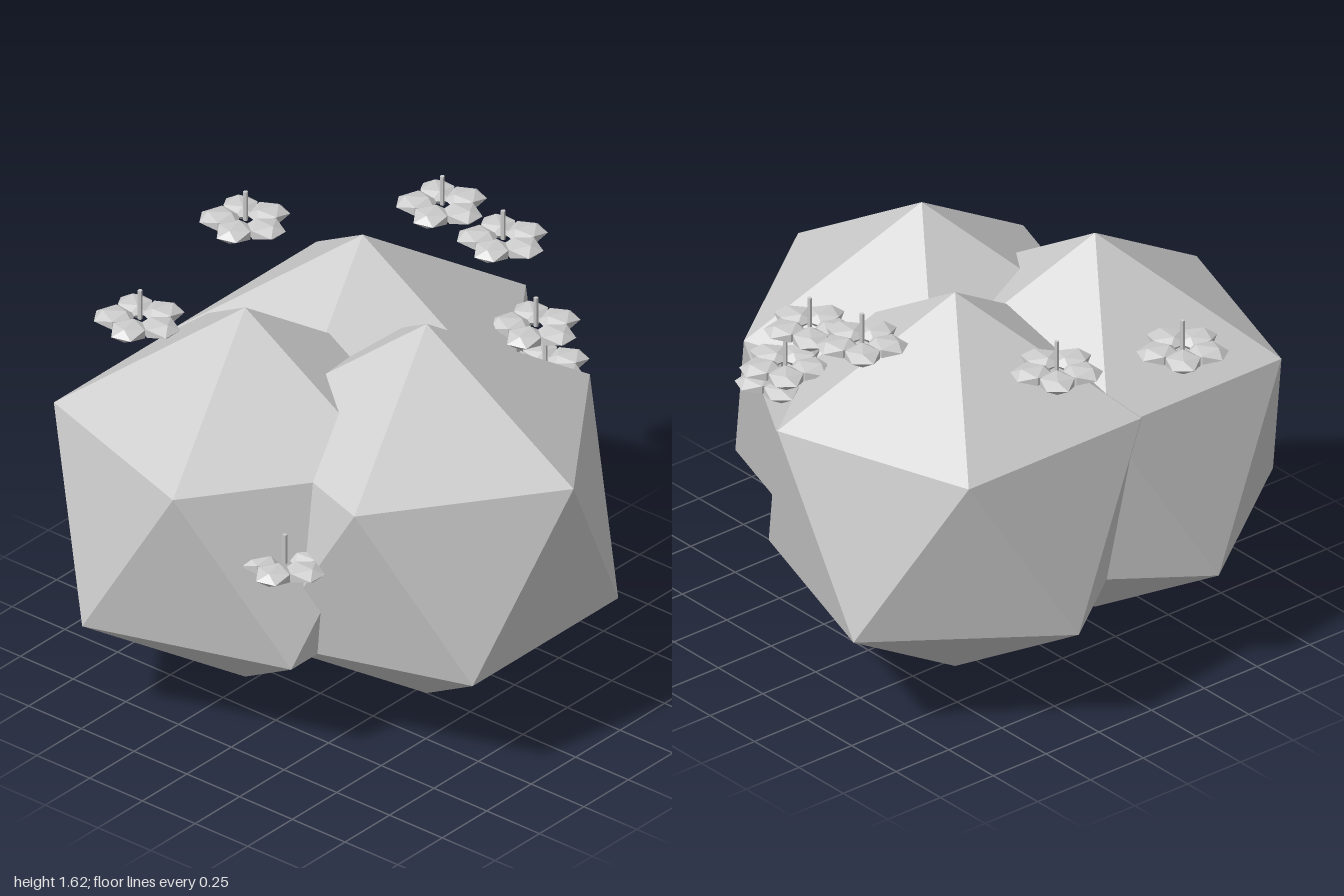
import * as THREE from 'three';

const grey = new THREE.MeshStandardMaterial({ color: 0xcccccc, flatShading: true });
grey.name = 'pale grey';

const R = 0.778; // foliage radius

// Icosahedron standing on one corner, with an upper-ring corner toward +x
function foliageGeometry() {
  const g = new THREE.IcosahedronGeometry(R, 0);
  g.rotateX(-Math.atan((1 + Math.sqrt(5)) / 2));
  g.rotateY(Math.PI / 2);
  return g;
}

// Squashed faceted petal pointing along +x from the flower's middle
function petalGeometry() {
  const k = 1 / 0.8507; // brings the extents of a unit icosahedron to 1
  const g = new THREE.IcosahedronGeometry(k, 0);
  g.scale(0.07, 0.027, 0.063);
  g.translate(0.094, 0, 0);
  return g;
}

export function createModel() {
  const model = new THREE.Group();
  model.name = 'floweringBush';

  // Three overlapping foliage clumps
  const foliage = foliageGeometry();
  const clumps = [[0.294, 0], [-0.284, 0.335], [-0.292, -0.335]];
  clumps.forEach(([x, z], i) => {
    const mesh = new THREE.Mesh(foliage, grey);
    mesh.name = `foliageClump${i + 1}`;
    mesh.position.set(x, R, z);
    model.add(mesh);
  });

  // Five-petalled flowers, each with a thin upright pistil
  const petal = petalGeometry();
  const pistil = new THREE.CylinderGeometry(0.009, 0.009, 0.12, 6);
  pistil.translate(0, 0.06, 0);
  const flowers = [
    [-0.81, 1.44, -0.29],
    [-0.8, 1.302, 0.315],
    [-0.275, 1.495, -0.762],
    [0, 1.448, -0.778],
    [0.2, 1.182, -0.725],
    [0.285, 1.072, -0.675],
    [0.22, 0.842, 0.71],
  ];
  flowers.forEach(([x, y, z], i) => {
    const flower = new THREE.Group();
    flower.name = `flower${i + 1}`;
    for (let p = 0; p < 5; p++) {
      const mesh = new THREE.Mesh(petal, grey);
      mesh.name = 'petal';
      mesh.rotation.y = -0.05 - (p * Math.PI * 2) / 5;
      flower.add(mesh);
    }
    const stalk = new THREE.Mesh(pistil, grey);
    stalk.name = 'pistil';
    flower.add(stalk);
    flower.position.set(x, y, z);
    model.add(flower);
  });

  return model;
}
